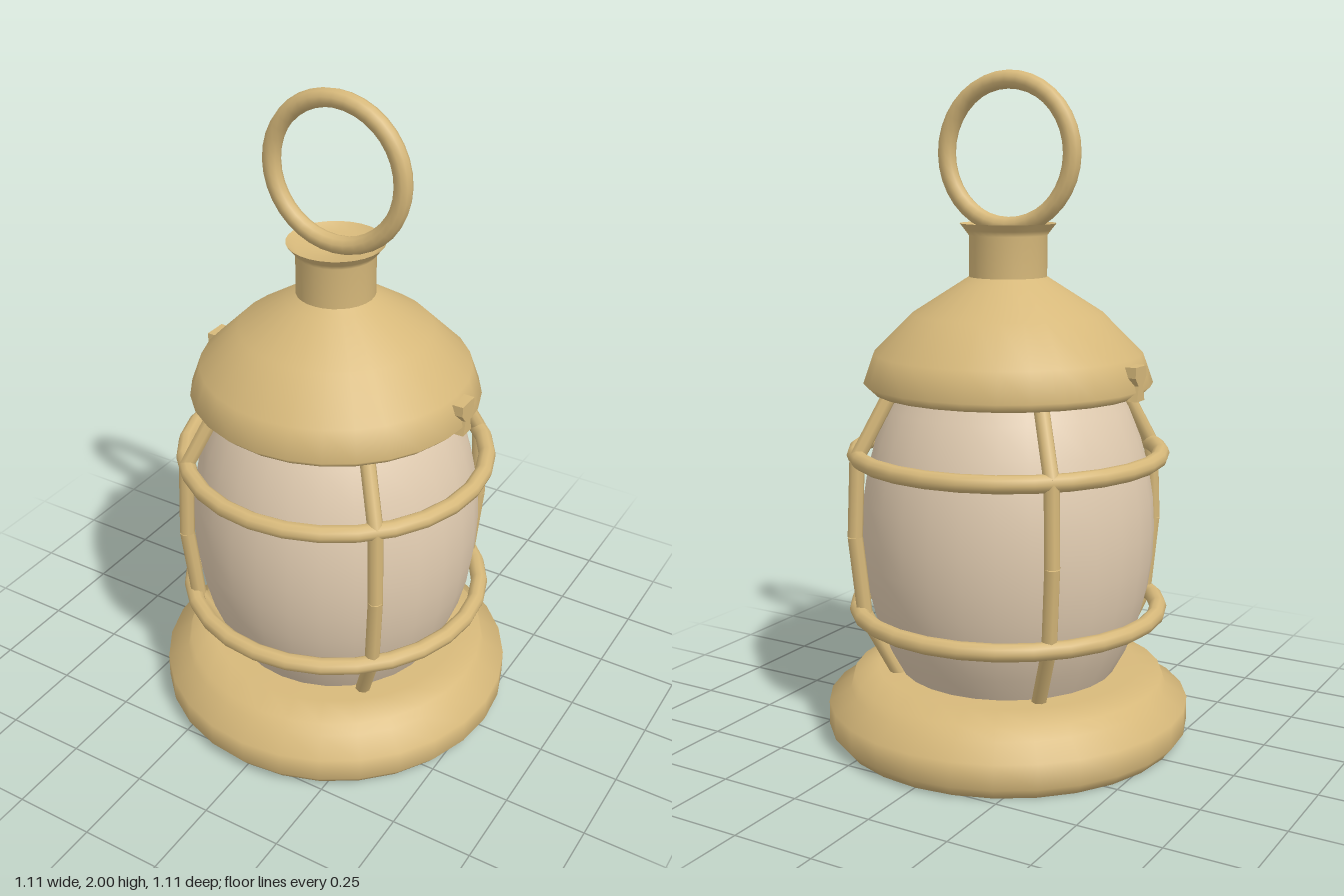
import * as THREE from 'three';

export function createModel() {
  const model = new THREE.Group();
  model.name = 'lantern';
  const brass = new THREE.MeshStandardMaterial({ color: 0xd6b87a });
  brass.name = 'brass';
  const frosted = new THREE.MeshStandardMaterial({ color: 0xe0cbb0 });
  frosted.name = 'frosted glass';

  const add = (name, geometry, material = brass, parent = model) => {
    const mesh = new THREE.Mesh(geometry, material);
    mesh.name = name;
    parent.add(mesh);
    return mesh;
  };
  // Turned part from [radius, height] pairs, listed from bottom to top
  const turned = (name, profile, material) =>
    add(name, new THREE.LatheGeometry(profile.map(([r, y]) => new THREE.Vector2(r, y)), 28), material);

  // Stepped foot
  turned('base', [[0, 0], [0.525, 0], [0.553, 0.035], [0.553, 0.11], [0.487, 0.15],
    [0.476, 0.187], [0.4, 0.21], [0, 0.21]]);

  // Barrel-shaped globe, a slice of an ellipsoid
  const globe = [];
  for (let i = 0; i <= 10; i++) {
    const y = 0.19 + i * 0.092;
    globe.push([0.444 * Math.sqrt(1 - ((y - 0.64) / 0.65) ** 2), y]);
  }
  turned('globe', globe, frosted);

  // Domed hood
  turned('hood', [[0.28, 1.07], [0.405, 1.066], [0.433, 1.092], [0.402, 1.18],
    [0.286, 1.295], [0.145, 1.385], [0.114, 1.405]]);

  // Chimney with flared lip and dished top
  turned('chimney', [[0.116, 1.38], [0.116, 1.525], [0.127, 1.54], [0.143, 1.56]]);
  turned('chimneyTop', [[0.143, 1.56], [0.115, 1.54], [0, 1.525]]);

  // Carrying ring
  add('handleRing', new THREE.TorusGeometry(0.211, 0.027, 10, 36)).position.y = 1.762;

  // Horizontal guard hoops
  for (const y of [0.4, 0.878]) {
    const hoop = add('guardHoop', new THREE.TorusGeometry(0.46, 0.026, 10, 28));
    hoop.rotation.x = Math.PI / 2;
    hoop.position.y = y;
  }

  // Four bent guard bars, made of straight rods on the diagonals
  const path = [[0.335, 0.19], [0.445, 0.4], [0.47, 0.64], [0.46, 0.88], [0.345, 1.09]];
  for (let k = 0; k < 4; k++) {
    const bar = new THREE.Group();
    bar.name = 'guardBar';
    bar.rotation.y = Math.PI / 4 + k * Math.PI / 2;
    for (let i = 0; i < path.length - 1; i++) {
      const [r0, y0] = path[i], [r1, y1] = path[i + 1];
      const length = Math.hypot(r1 - r0, y1 - y0);
      const rod = add('guardRod', new THREE.CylinderGeometry(0.023, 0.023, length, 8), brass, bar);
      rod.position.set((r0 + r1) / 2, (y0 + y1) / 2, 0);
      rod.rotation.z = -Math.atan2(r1 - r0, y1 - y0);
    }
    model.add(bar);
  }

  // Hourglass catches on both sides of the hood
  const outline = new THREE.Shape([[-0.025, 1.066], [0.025, 1.066], [0.015, 1.11], [0.036, 1.135],
    [0.036, 1.166], [-0.036, 1.166], [-0.036, 1.135], [-0.015, 1.11]].map(([x, y]) => new THREE.Vector2(x, y)));
  for (const side of [-1, 1]) {
    const latch = add('hoodCatch', new THREE.ExtrudeGeometry(outline, { depth: 0.055, bevelEnabled: false }));
    latch.rotation.y = side * Math.PI / 2;
    latch.position.x = side * 0.382;
  }

  return model;
}
